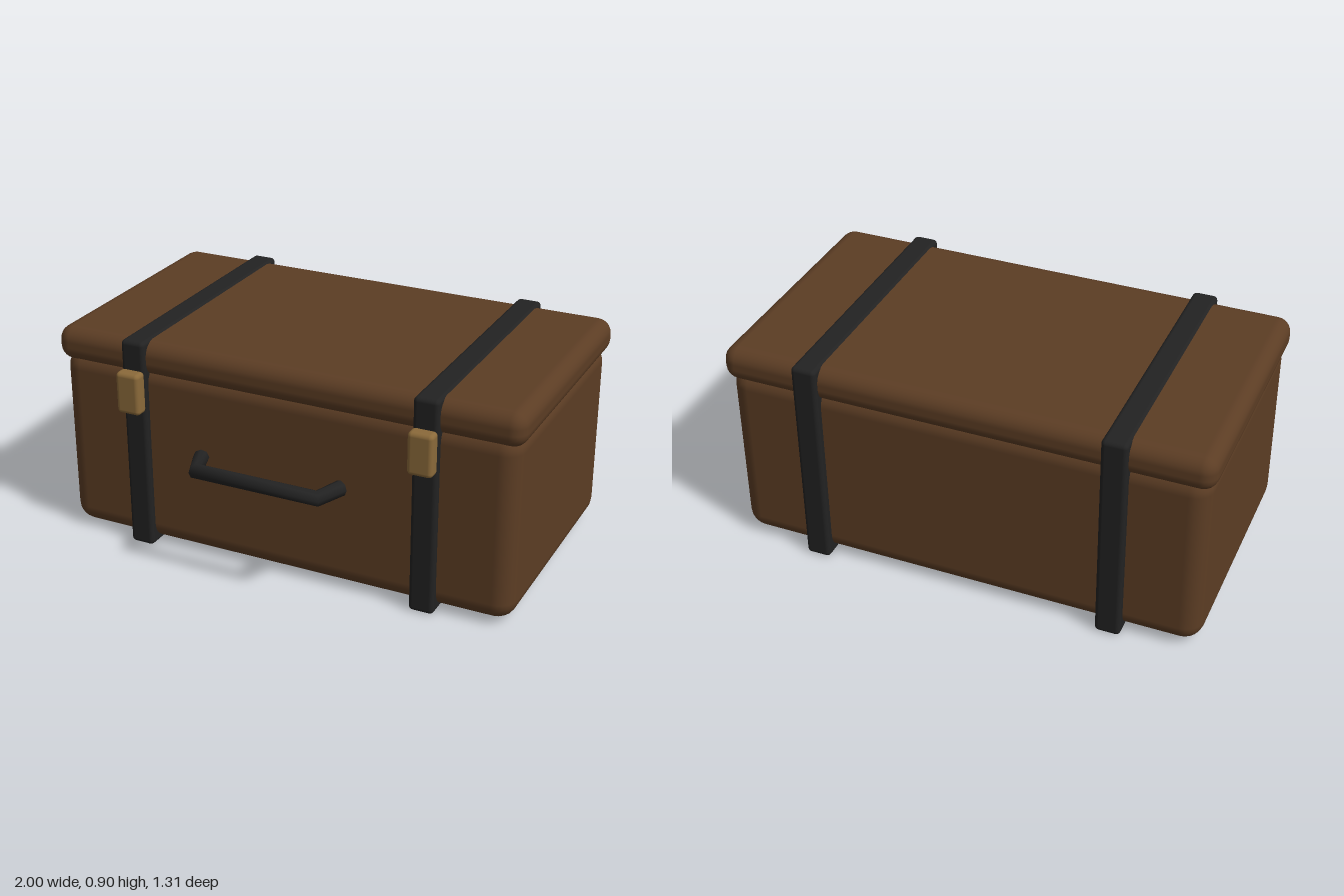
import * as THREE from 'three';
import { RoundedBoxGeometry } from 'three/addons/geometries/RoundedBoxGeometry.js';

// Straight-sided path whose sample points fall exactly on the given corners
class CornerPath extends THREE.Curve {
  constructor(points) {
    super();
    this.points = points;
  }
  getPoint(t, target = new THREE.Vector3()) {
    const last = this.points.length - 1;
    const i = Math.min(Math.floor(t * last + 1e-6), last - 1);
    return target.lerpVectors(this.points[i], this.points[i + 1], t * last - i);
  }
  getPointAt(u, target) {
    return this.getPoint(u, target);
  }
  // Corner rings face the average of the two neighbouring directions
  getTangentAt(u, target = new THREE.Vector3()) {
    const last = this.points.length - 1;
    const i = Math.round(u * last);
    const dir = (k) => this.points[k + 1].clone().sub(this.points[k]).normalize();
    return target.copy(dir(Math.max(i - 1, 0))).add(dir(Math.min(i, last - 1))).normalize();
  }
}

export function createModel() {
  const model = new THREE.Group();
  model.name = 'trunk';

  const leather = new THREE.MeshStandardMaterial({ color: 0x5c3d24 });
  leather.name = 'brown leather';
  const black = new THREE.MeshStandardMaterial({ color: 0x222222 });
  black.name = 'black leather';
  const brass = new THREE.MeshStandardMaterial({ color: 0x8b6a3a });
  brass.name = 'dull brass';

  // Rounded box given by its extents on each axis
  function roundedBox(name, [x0, x1], [y0, y1], [z0, z1], radius, material) {
    const geometry = new RoundedBoxGeometry(x1 - x0, y1 - y0, z1 - z0, 3, radius);
    const mesh = new THREE.Mesh(geometry, material);
    mesh.position.set((x0 + x1) / 2, (y0 + y1) / 2, (z0 + z1) / 2);
    mesh.name = name;
    model.add(mesh);
  }

  // Case and overhanging lid
  roundedBox('body', [-0.982, 0.982], [0.014, 0.8], [-0.624, 0.446], 0.08, leather);
  roundedBox('lid', [-1, 1], [0.754, 0.898], [-0.637, 0.456], 0.06, leather);

  // Straps wrapping the whole trunk, with a clasp on the front of each
  for (const [side, s] of [['left', 1], ['right', -1]]) {
    const x = [s * 0.626 - 0.052, s * 0.626 + 0.052];
    roundedBox(side + 'Strap', x, [0, 0.905], [-0.656, 0.474], 0.018, black);
    roundedBox(side + 'Clasp', x, [0.61, 0.786], [0.465, 0.526], 0.018, brass);
  }

  // Bent carrying handle
  const handle = new THREE.Group();
  handle.name = 'handle';
  handle.position.y = 0.488;
  const radius = 0.032;
  const path = new CornerPath([
    new THREE.Vector3(-0.304, 0, 0.511),
    new THREE.Vector3(-0.261, 0, 0.627),
    new THREE.Vector3(0.261, 0, 0.627),
    new THREE.Vector3(0.304, 0, 0.511),
  ]);
  const grip = new THREE.Mesh(new THREE.TubeGeometry(path, 3, radius, 8, false), black);
  grip.name = 'handleGrip';
  handle.add(grip);

  // Flat ends of the handle
  for (const u of [0, 1]) {
    const cap = new THREE.Mesh(new THREE.CircleGeometry(radius, 8), black);
    const outward = path.getTangentAt(u).multiplyScalar(u ? 1 : -1);
    cap.position.copy(path.getPointAt(u));
    cap.quaternion.setFromUnitVectors(new THREE.Vector3(0, 0, 1), outward);
    cap.name = u ? 'leftHandleEnd' : 'rightHandleEnd';
    handle.add(cap);
  }
  model.add(handle);

  return model;
}
